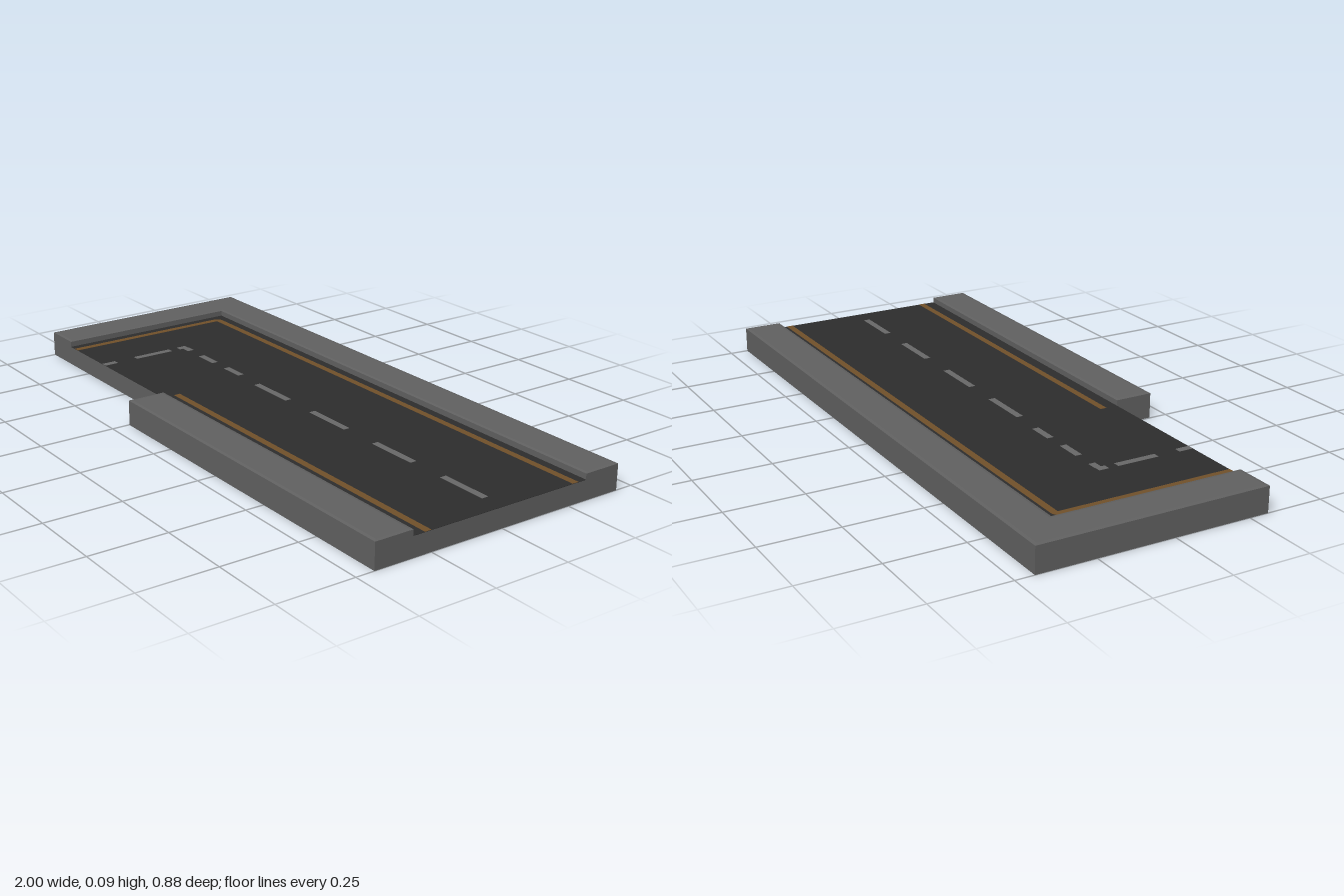
import * as THREE from 'three';

const ROAD_Y = 0.065;   // road surface height
const CURB_EDGE = 0.083; // kerb height at its softened edge

export function createModel() {
  const model = new THREE.Group();
  model.name = 'roadCorner';
  const material = (name, color) => {
    const m = new THREE.MeshStandardMaterial({ color });
    m.name = name;
    return m;
  };
  const concrete = material('concrete grey', 0x606060);
  const asphalt = material('asphalt', 0x2d2d2d);
  const orange = material('line orange', 0x70502a);
  const pale = material('dash grey', 0x686868);

  const add = (name, geometry, mat, parent = model) => {
    const mesh = new THREE.Mesh(geometry, mat);
    mesh.name = name;
    parent.add(mesh);
    return mesh;
  };
  // Box given by its extents in x, y and z
  const block = (name, mat, x0, x1, y0, y1, z0, z1, parent) =>
    add(name, new THREE.BoxGeometry(x1 - x0, y1 - y0, z1 - z0), mat, parent)
      .position.set((x0 + x1) / 2, (y0 + y1) / 2, (z0 + z1) / 2);

  // Raised kerb from an [x, z] outline, with a slight chamfer round the top
  const kerb = (name, outline) => {
    const shape = new THREE.Shape(outline.map(([x, z]) => new THREE.Vector2(x, -z)));
    const g = new THREE.ExtrudeGeometry(shape, {
      depth: CURB_EDGE, bevelEnabled: true, bevelThickness: 0.002,
      bevelSize: 0.01, bevelOffset: -0.01, bevelSegments: 1,
    });
    g.rotateX(-Math.PI / 2);
    const p = g.attributes.position;
    for (let i = 0; i < p.count; i++) p.setY(i, Math.max(0, p.getY(i))); // flat underside
    g.computeVertexNormals();
    add(name, g, concrete);
  };

  // Base and road surface
  block('base', concrete, -0.87, 1, 0, ROAD_Y - 0.001, -0.313, 0.313);
  block('roadSurface', asphalt, -0.87, 1, ROAD_Y - 0.001, ROAD_Y, -0.313, 0.313);

  // Kerbs: an L round the outside of the bend, a bar on the inside
  kerb('outerKerb', [[-1, 0.313], [-0.87, 0.313], [-0.87, -0.313], [1, -0.313], [1, -0.44], [-1, -0.44]]);
  kerb('innerKerb', [[-0.247, 0.44], [1, 0.44], [1, 0.313], [-0.247, 0.313]]);

  // Painted lines
  const paint = new THREE.Group();
  paint.name = 'roadMarkings';
  model.add(paint);
  const stripe = (name, mat, x0, x1, z0, z1) =>
    block(name, mat, x0, x1, ROAD_Y, ROAD_Y + 0.0006, z0, z1, paint);

  // Outer edge line with a small rounded corner
  const [o, i, r] = [-0.843, -0.821, 0.025];
  const edge = new THREE.Shape();
  edge.moveTo(o, -0.313);
  edge.lineTo(i, -0.313);
  edge.lineTo(i, 0.262);
  edge.lineTo(1, 0.262);
  edge.lineTo(1, 0.284);
  edge.lineTo(o + r, 0.284);
  edge.quadraticCurveTo(o, 0.284, o, 0.284 - r);
  edge.closePath();
  const edgeGeometry = new THREE.ExtrudeGeometry(edge, { depth: 0.0006, bevelEnabled: false, curveSegments: 6 });
  edgeGeometry.rotateX(-Math.PI / 2).translate(0, ROAD_Y, 0);
  add('outerEdgeLine', edgeGeometry, orange, paint);
  stripe('innerEdgeLine', orange, -0.247, 1, 0.252, 0.274);

  // Centre dashes along the straight, then round the bend
  for (const [x0, x1, z] of [
    [-0.177, 0, 0], [0.128, 0.306, 0], [0.444, 0.622, 0], [0.752, 0.928, 0],
    [-0.37, -0.283, -0.008], [-0.524, -0.438, -0.006], [-0.625, -0.593, -0.006],
  ]) stripe('centreDash', pale, x0, x1, z - 0.011, z + 0.011);
  for (const [z0, z1] of [[-0.015, 0.018], [0.05, 0.19], [0.265, 0.313]])
    stripe('bendDash', pale, -0.647, -0.625, z0, z1);

  return model;
}
